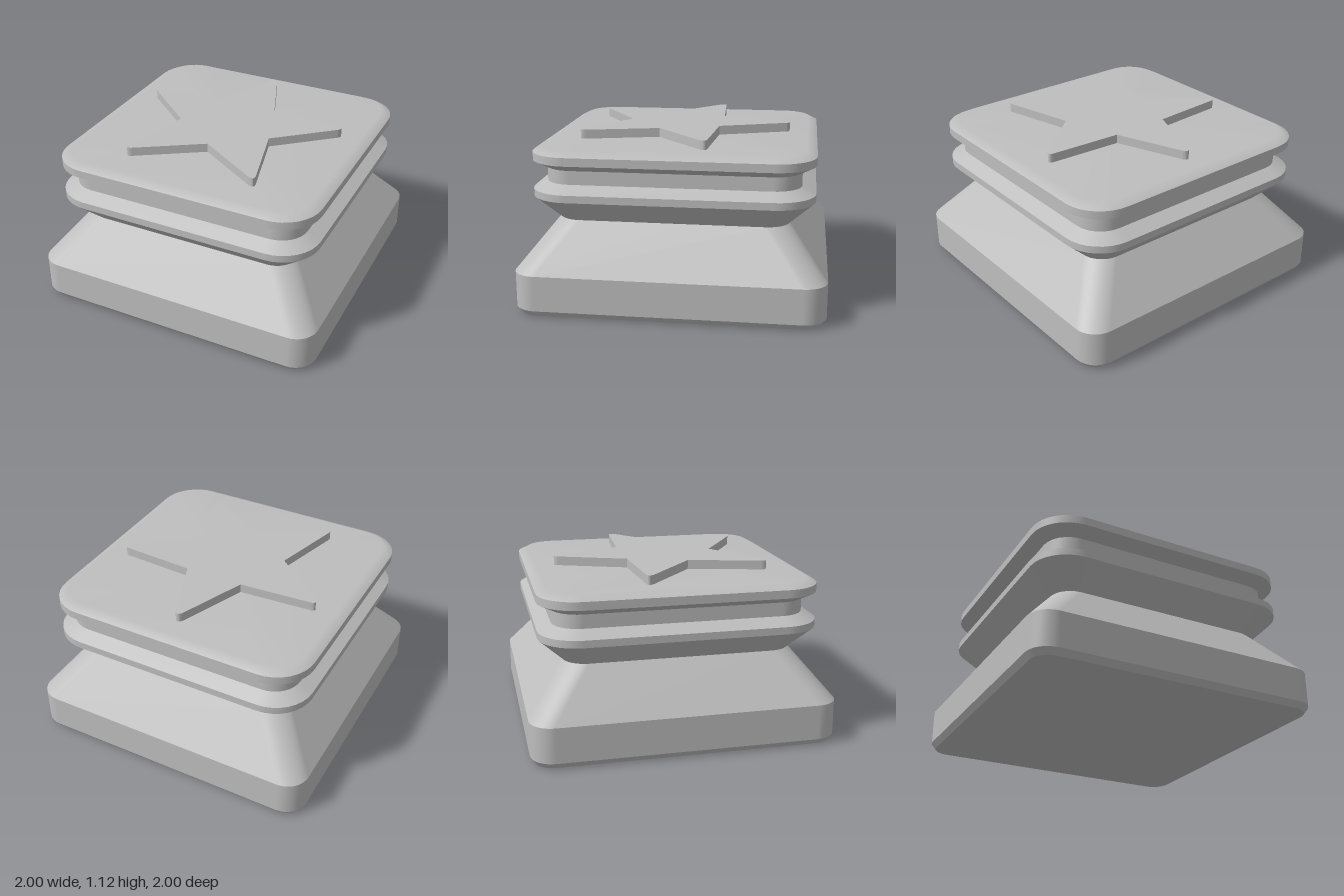
import * as THREE from 'three';

const SEG = 8; // segments per rounded corner

// Corner points of a rounded square, counter-clockwise seen from above
function ring([y, half, r]) {
  const pts = [];
  for (let c = 0; c < 4; c++) {
    const mid = Math.PI / 4 + c * Math.PI / 2;
    const cx = Math.sign(Math.cos(mid)) * (half - r);
    const cz = Math.sign(Math.sin(mid)) * (half - r);
    for (let i = 0; i <= SEG; i++) {
      const a = (c + i / SEG) * Math.PI / 2;
      pts.push([cx + r * Math.cos(a), y, cz + r * Math.sin(a)]);
    }
  }
  return pts;
}

// Skin through rounded-square sections, smooth within one call; optional end cap
function loft(sections, cap) {
  const rings = sections.map(ring), n = rings[0].length;
  const pos = rings.flat(2), idx = [];
  for (let k = 0; k < rings.length - 1; k++) {
    for (let i = 0; i < n; i++) {
      const a = k * n + i, b = k * n + (i + 1) % n;
      idx.push(a, a + n, b, b, a + n, b + n);
    }
  }
  if (cap) {
    const center = rings.length * n;
    const base = (rings.length - 1) * n;
    pos.push(0, sections[sections.length - 1][0], 0);
    for (let i = 0; i < n; i++) {
      const a = base + i, b = base + (i + 1) % n;
      if (cap === 'top') idx.push(a, center, b);
      else idx.push(a, b, center);
    }
  }
  const g = new THREE.BufferGeometry();
  g.setAttribute('position', new THREE.Float32BufferAttribute(pos, 3));
  g.setIndex(idx);
  g.computeVertexNormals();
  return g;
}

export function createModel() {
  const model = new THREE.Group();
  const gray = new THREE.MeshStandardMaterial({ color: 0xbebebe });
  gray.name = 'plain gray';
  const add = (name, geometry) => {
    const mesh = new THREE.Mesh(geometry, gray);
    mesh.name = name;
    model.add(mesh);
  };

  // Body bands, bottom to top: [height, half width, corner radius]
  const profile = [
    [0, 0.97, 0.12],
    [0.04, 1, 0.15],
    [0.274, 1, 0.15],
    [0.584, 0.75, 0.15],
    [0.739, 0.91, 0.26],
    [0.787, 0.91, 0.26],
    [0.835, 0.82, 0.18],
    [0.925, 0.82, 0.18],
    [0.973, 0.91, 0.26],
    [1.027, 0.91, 0.26],
  ];
  const names = ['baseChamfer', 'base', 'baseSlope', 'waistFlare', 'lowerRim',
    'lowerRimSlope', 'neck', 'upperRimFlare', 'upperRim'];
  names.forEach((name, i) => add(name, loft([profile[i], profile[i + 1]])));

  // Underside and softly shaded lid
  add('underside', loft([profile[0]], 'bottom'));
  add('lid', loft([profile[9], [1.06, 0.845, 0.2]], 'top'));

  // Raised star with rounded points
  const s = new THREE.Shape();
  s.moveTo(0, -0.38);
  s.lineTo(0.42, -0.645);
  s.quadraticCurveTo(0.465, -0.665, 0.455, -0.615);
  s.lineTo(0.33, -0.14);
  s.lineTo(0.7, 0.175);
  s.quadraticCurveTo(0.73, 0.215, 0.69, 0.22);
  s.lineTo(0.2, 0.25);
  s.lineTo(0.025, 0.7);
  s.quadraticCurveTo(0, 0.74, -0.025, 0.7);
  s.lineTo(-0.2, 0.25);
  s.lineTo(-0.69, 0.22);
  s.quadraticCurveTo(-0.73, 0.215, -0.7, 0.175);
  s.lineTo(-0.33, -0.14);
  s.lineTo(-0.455, -0.615);
  s.quadraticCurveTo(-0.465, -0.665, -0.42, -0.645);
  s.closePath();
  const star = new THREE.ExtrudeGeometry(s, { depth: 0.07, bevelEnabled: false, curveSegments: 6 });
  star.rotateX(-Math.PI / 2).translate(0, 1.05, 0);
  add('star', star);

  return model;
}
